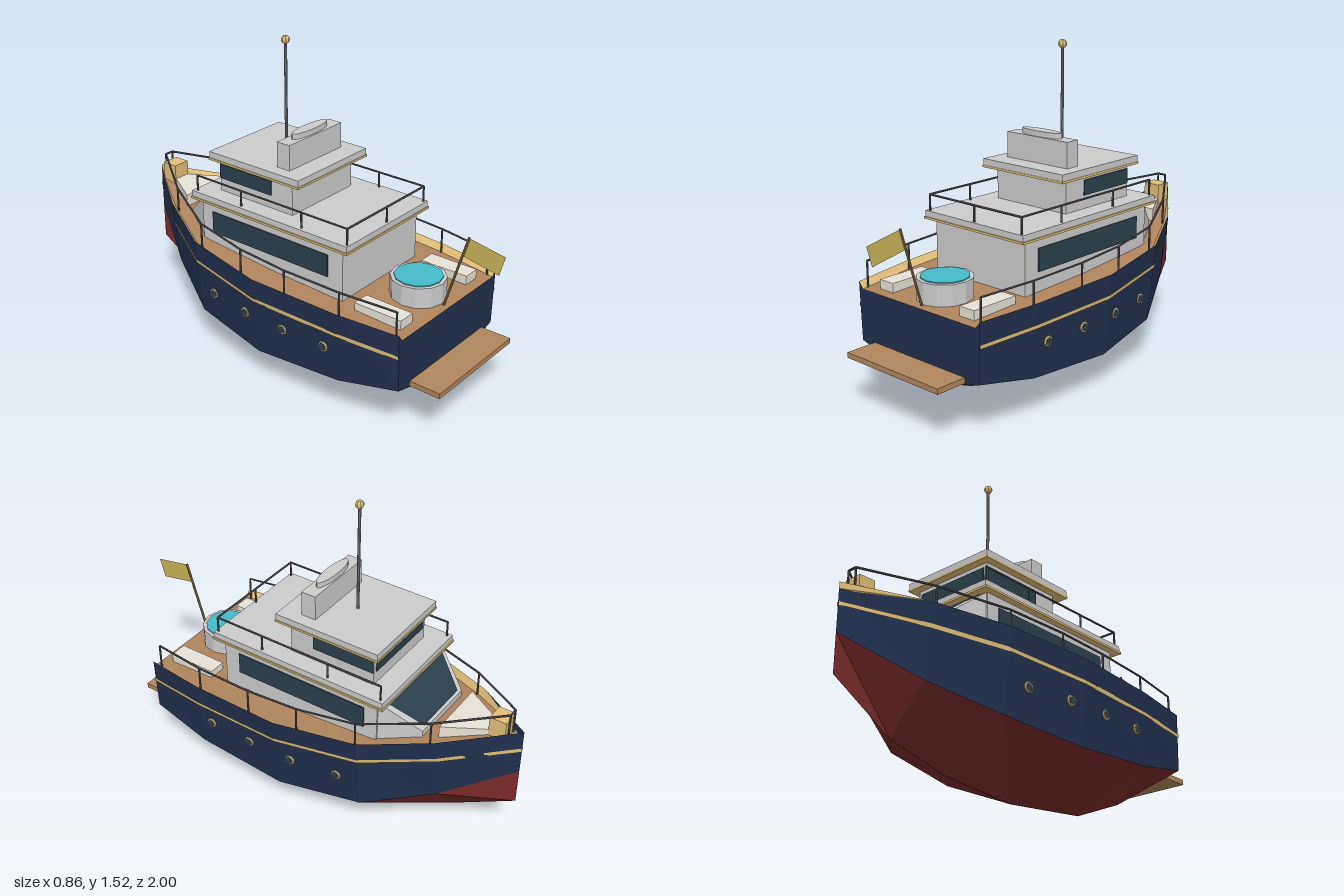
import * as THREE from 'three';
import { ConvexGeometry } from 'three/addons/geometries/ConvexGeometry.js';

const mat = (color, side = THREE.FrontSide) =>
  new THREE.MeshStandardMaterial({ color, side, flatShading: true });
const NAVY = 0x22304e, RED = 0x7a2a2a, TEAK = 0xb0855c, GOLD = 0xe0bf78, GREY = 0xcccccc,
  GLASS = 0x2b404c, RAIL = 0x5a5a60, CUSHION = 0xe6e2d6, WATER = 0x45bccb, FLAG = 0xc8b458;

// Hull stations from stern to bow: z, sheer x, sheer y, chine x, chine y, keel y
const STATIONS = [
  [0.75, 0.37, 0.53, 0.36, 0.26, 0.17],
  [0.45, 0.41, 0.54, 0.385, 0.2, 0.05],
  [0, 0.43, 0.555, 0.39, 0.17, 0.004],
  [-0.4, 0.37, 0.585, 0.33, 0.21, 0.035],
  [-0.7, 0.22, 0.635, 0.18, 0.31, 0.11],
  [-1, 0, 0.685, 0, 0.465, 0.29],
];

// Interpolated station at any z
function stationAt(z) {
  let i = 0;
  while (i < STATIONS.length - 2 && z < STATIONS[i + 1][0]) i++;
  const a = STATIONS[i], b = STATIONS[i + 1], t = (z - a[0]) / (b[0] - a[0]);
  return a.map((v, k) => v + (b[k] - v) * t);
}

// Half width of the hull side at a given height
function sideX(s, y) {
  return s[3] + (s[1] - s[3]) * (y - s[4]) / (s[2] - s[4]);
}

export function createModel() {
  const boat = new THREE.Group();
  boat.name = 'motorYacht';

  const add = (name, geo, color, x = 0, y = 0, z = 0, side) => {
    const m = new THREE.Mesh(geo, mat(color, side));
    m.name = name;
    m.position.set(x, y, z);
    boat.add(m);
    return m;
  };
  // Box given by its extents
  const box = (name, color, x0, x1, y0, y1, z0, z1) =>
    add(name, new THREE.BoxGeometry(x1 - x0, y1 - y0, z1 - z0), color,
      (x0 + x1) / 2, (y0 + y1) / 2, (z0 + z1) / 2);
  // Round bar between two points
  const bar = (name, a, b, r, color, sides = 6) => {
    const p = new THREE.Vector3(...a), q = new THREE.Vector3(...b), d = q.clone().sub(p);
    const m = add(name, new THREE.CylinderGeometry(r, r, d.length(), sides), color);
    m.position.copy(p).add(q).multiplyScalar(0.5);
    m.quaternion.setFromUnitVectors(new THREE.Vector3(0, 1, 0), d.normalize());
    return m;
  };
  // Ruled surface between two polylines
  const ruled = (name, a, b, color) => {
    const pos = [];
    for (let i = 0; i < a.length - 1; i++)
      pos.push(...a[i], ...b[i], ...b[i + 1], ...a[i], ...b[i + 1], ...a[i + 1]);
    const g = new THREE.BufferGeometry();
    g.setAttribute('position', new THREE.Float32BufferAttribute(pos, 3));
    g.computeVertexNormals();
    return add(name, g, color, 0, 0, 0, THREE.DoubleSide);
  };

  // Hull sides, bottom, gunwale and stripe
  const deckEdge = (sx) => STATIONS.map((s) => [sx * Math.max(0, s[1] - 0.024), s[2] - 0.03, s[0]]);
  const stripeY = [0.425, 0.437, 0.45, 0.483, 0.532, 0.59];
  for (const sx of [1, -1]) {
    const sheer = STATIONS.map((s) => [sx * s[1], s[2], s[0]]);
    const chine = STATIONS.map((s) => [sx * s[3], s[4], s[0]]);
    const keel = STATIONS.map((s) => [0, s[5], s[0]]);
    const stripe = (dy) => STATIONS.map((s, i) =>
      [sx * (sideX(s, stripeY[i] + dy) + 0.005), stripeY[i] + dy, s[0]]);
    ruled('hullSide', sx > 0 ? sheer : chine, sx > 0 ? chine : sheer, NAVY);
    ruled('hullBottom', sx > 0 ? chine : keel, sx > 0 ? keel : chine, RED);
    ruled('gunwale', sx > 0 ? deckEdge(sx) : sheer, sx > 0 ? sheer : deckEdge(sx), GOLD);
    ruled('hullStripe', sx > 0 ? stripe(0.009) : stripe(-0.009), sx > 0 ? stripe(-0.009) : stripe(0.009), GOLD);

    // Portholes
    for (const z of [0.38, 0.155, -0.07, -0.295]) {
      const x = sx * (sideX(stationAt(z), 0.35) + 0.003);
      add('portholeRing', new THREE.TorusGeometry(0.019, 0.006, 6, 12), GOLD, x, 0.35, z).rotation.y = Math.PI / 2;
      add('portholeGlass', new THREE.CylinderGeometry(0.018, 0.018, 0.012, 12), GLASS, x, 0.35, z).rotation.z = Math.PI / 2;
    }
  }
  ruled('deck', deckEdge(-1), deckEdge(1), TEAK);

  // Transom and swim platform
  const transom = new THREE.Shape([[-0.37, 0.53], [-0.36, 0.26], [0, 0.17], [0.36, 0.26], [0.37, 0.53], [0.346, 0.5], [-0.346, 0.5]]
    .map((p) => new THREE.Vector2(...p)));
  add('transom', new THREE.ShapeGeometry(transom), NAVY, 0, 0, 0.75, THREE.DoubleSide);
  box('swimPlatform', TEAK, -0.28, 0.28, 0.245, 0.27, 0.74, 0.9);

  // Main cabin with raked windscreen
  box('mainCabin', GREY, -0.27, 0.27, 0.49, 0.77, -0.44, 0.38);
  const rake = [];
  for (const s of [1, -1])
    rake.push([s * 0.265, 0.765, -0.435], [s * 0.265, 0.5, -0.435], [s * 0.17, 0.62, -0.61], [s * 0.17, 0.5, -0.61]);
  add('cabinFront', new ConvexGeometry(rake.map((p) => new THREE.Vector3(...p))), GREY);
  // Corners of the pane, lifted slightly off the raked face
  const pane = (w, t) => [w, 0.765 - 0.145 * t + 0.004, -0.435 - 0.175 * t - 0.003];
  ruled('windscreen', [pane(0.235, 0.08), pane(0.145, 0.94)], [pane(-0.235, 0.08), pane(-0.145, 0.94)], GLASS);
  for (const s of [1, -1])
    box('mainSideWindow', GLASS, s * 0.271 - 0.004, s * 0.271 + 0.004, 0.605, 0.71, -0.375, 0.3);
  box('mainRoofTrim', GOLD, -0.302, 0.302, 0.758, 0.768, -0.485, 0.425);
  box('mainRoof', GREY, -0.296, 0.296, 0.766, 0.796, -0.48, 0.42);

  // Wheelhouse
  box('wheelhouse', GREY, -0.208, 0.208, 0.79, 0.96, -0.38, 0.05);
  for (const s of [1, -1])
    box('wheelhouseSideWindow', GLASS, s * 0.209 - 0.004, s * 0.209 + 0.004, 0.858, 0.928, -0.378, -0.07);
  box('wheelhouseFrontWindow', GLASS, -0.19, 0.19, 0.858, 0.928, -0.385, -0.375);
  box('wheelhouseRoofTrim', GOLD, -0.243, 0.243, 0.948, 0.958, -0.418, 0.113);
  box('wheelhouseRoof', GREY, -0.24, 0.24, 0.956, 0.988, -0.415, 0.11);

  // Funnel and mast
  box('funnel', GREY, -0.18, 0.18, 0.98, 1.107, -0.06, 0.012);
  add('funnelCap', new THREE.CylinderGeometry(1, 1, 0.03, 20), GREY, 0, 1.117, -0.025).scale.set(0.117, 1, 0.03);
  bar('mast', [0, 0.98, -0.16], [0, 1.5, -0.16], 0.007, 0x8a8a8e, 8);
  add('mastLight', new THREE.SphereGeometry(0.02, 8, 6), GOLD, 0, 1.505, -0.16);

  // Upper deck rail
  const r = 0.005;
  for (const s of [0.278, -0.278]) {
    bar('upperRail', [s, 0.87, 0.408], [s, 0.87, -0.46], r, RAIL);
    for (const z of [0.408, 0.16, -0.19, -0.46])
      bar('upperRailPost', [s, 0.79, z], [s, 0.87, z], r, RAIL);
  }
  bar('upperBackRail', [-0.278, 0.87, 0.408], [0.278, 0.87, 0.408], r, RAIL);
  bar('upperRailPost', [0, 0.79, 0.408], [0, 0.87, 0.408], r, RAIL);

  // Deck rail
  const railZ = [0.72, 0.45, 0.16, -0.1, -0.38, -0.67, -0.94];
  for (const sx of [1, -1]) {
    const pts = railZ.map((z) => {
      const s = stationAt(z);
      return [sx * Math.max(0.022, s[1] - 0.027), s[2] + 0.09, z];
    });
    pts.forEach((p, i) => {
      bar('deckRailPost', [p[0], p[1] - 0.12, p[2]], p, r, RAIL);
      if (i) bar('deckRail', pts[i - 1], p, r, RAIL);
    });
  }
  bar('bowRail', [-0.022, 0.765, -0.94], [0.022, 0.765, -0.94], r, RAIL);

  // Hot tub and benches on the aft deck
  add('hotTub', new THREE.CylinderGeometry(0.125, 0.125, 0.1, 12), GREY, 0, 0.548, 0.585);
  add('hotTubWater', new THREE.CylinderGeometry(0.108, 0.108, 0.01, 12), WATER, 0, 0.598, 0.585);
  for (const s of [1, -1])
    box('bench', CUSHION, s * 0.247 - 0.042, s * 0.247 + 0.042, 0.495, 0.545, 0.46, 0.7);

  // Sun pad and windlass on the foredeck
  const pad = new THREE.Shape([[-0.145, 0.675], [0.145, 0.675], [0.04, 0.855], [-0.04, 0.855]]
    .map((p) => new THREE.Vector2(...p)));
  add('sunPad', new THREE.ExtrudeGeometry(pad, { depth: 0.06, bevelEnabled: false }), CUSHION, 0, 0.6, 0).rotation.x = -Math.PI / 2;
  box('windlass', GOLD, -0.043, 0.043, 0.62, 0.73, -0.935, -0.855);

  // Ensign staff and flag
  bar('flagPole', [0, 0.5, 0.72], [0, 0.855, 0.825], 0.006, 0x8a7340);
  ruled('flag', [[0, 0.853, 0.824], [0, 0.762, 0.798]], [[0, 0.822, 1], [0, 0.73, 0.975]], FLAG);

  return boat;
}
